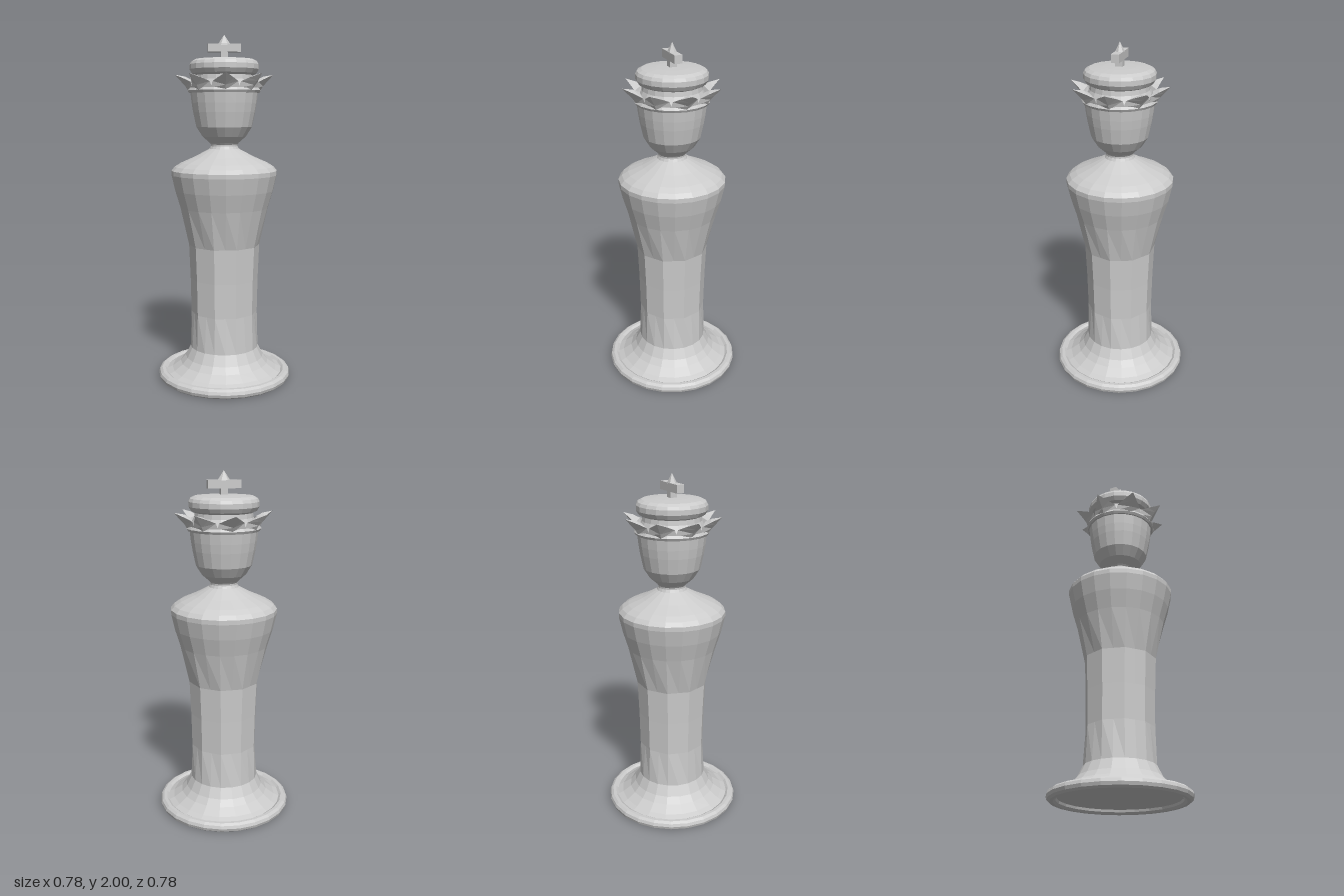
import * as THREE from 'three';

const material = new THREE.MeshStandardMaterial({ color: 0xcccccc, flatShading: true, side: THREE.DoubleSide });
const SIDES = 20;
const STEP = Math.PI * 2 / SIDES;

function addPart(parent, name, geometry) {
  const faceted = geometry.index ? geometry.toNonIndexed() : geometry;
  faceted.computeVertexNormals();
  const mesh = new THREE.Mesh(faceted, material);
  mesh.name = name;
  parent.add(mesh);
  return mesh;
}

// Turned shape from [radius, height] pairs, bottom to top
function turned(profile) {
  return new THREE.LatheGeometry(profile.map(([r, y]) => new THREE.Vector2(r, y)), SIDES, STEP);
}

// Robe whose shaft is cut to ten flat sides between two heights
function robeGeometry() {
  const geometry = turned([
    [0, 0.025], [0.345, 0.025], [0.345, 0.045], [0.31, 0.06], [0.26, 0.095], [0.23, 0.13], [0.2, 0.19],
    [0.194, 0.4], [0.198, 0.6], [0.206, 0.8], [0.255, 1.02], [0.285, 1.12], [0.305, 1.21],
    [0.305, 1.235], [0.285, 1.258], [0.25, 1.28], [0.17, 1.315], [0.085, 1.36], [0.077, 1.375]
  ]);
  const p = geometry.attributes.position;
  for (let i = 0; i < p.count; i++) {
    const y = p.getY(i);
    const slot = Math.round(Math.atan2(p.getX(i), p.getZ(i)) / STEP);
    if (y > 0.35 && y < 0.85 && slot % 2 === 0) {
      const k = Math.cos(STEP);
      p.setXYZ(i, p.getX(i) * k, y, p.getZ(i) * k);
    }
  }
  return geometry;
}

// Curved crown point: four-cornered sections shrinking to a tip, pointing along +z
function crownPointGeometry() {
  // half width, then [z, y] of the sides, outer ridge and inner ridge
  const sections = [
    [0.078, [0.18, 1.70], [0.205, 1.688], [0.165, 1.70]],
    [0.07, [0.19, 1.735], [0.222, 1.715], [0.185, 1.75]],
    [0.045, [0.222, 1.752], [0.245, 1.74], [0.222, 1.768]],
    [0, [0.28, 1.778], [0.28, 1.778], [0.28, 1.778]]
  ];
  const vertices = [], index = [];
  sections.forEach(([w, side, outer, inner], s) => {
    vertices.push(-w, side[1], side[0], 0, outer[1], outer[0], w, side[1], side[0], 0, inner[1], inner[0]);
    if (s === sections.length - 1) return;
    for (let j = 0; j < 4; j++) {
      const a = s * 4 + j, b = s * 4 + (j + 1) % 4;
      index.push(a, b, b + 4);
      if (s < sections.length - 2) index.push(a, b + 4, a + 4);
    }
  });
  const geometry = new THREE.BufferGeometry();
  geometry.setAttribute('position', new THREE.Float32BufferAttribute(vertices, 3));
  geometry.setIndex(index);
  return geometry;
}

export function createModel() {
  const model = new THREE.Group();
  model.name = 'chessKing';

  // Base and robe
  const rim = addPart(model, 'baseRim', new THREE.TorusGeometry(0.362, 0.029, 10, 24).rotateX(Math.PI / 2));
  rim.position.y = 0.029;
  addPart(model, 'robe', robeGeometry());

  // Neck and head
  addPart(model, 'collar', turned([[0.085, 1.36], [0.077, 1.37], [0.077, 1.385], [0.088, 1.4]]));
  addPart(model, 'head', turned([
    [0, 1.39], [0.085, 1.395], [0.125, 1.43], [0.16, 1.485], [0.178, 1.57], [0.186, 1.62], [0.194, 1.69],
    [0.18, 1.72], [0.165, 1.75], [0.16, 1.79]
  ]));

  // Crown
  const crown = new THREE.Group();
  crown.name = 'crown';
  model.add(crown);
  const band = addPart(crown, 'crownBand', new THREE.TorusGeometry(0.193, 0.016, 6, SIDES).rotateX(Math.PI / 2));
  band.position.y = 1.69;
  for (let i = 0; i < 8; i++) {
    addPart(crown, 'crownPoint', crownPointGeometry()).rotation.y = i * Math.PI / 4;
  }
  addPart(crown, 'cap', turned([
    [0, 1.765], [0.15, 1.77], [0.183, 1.785], [0.197, 1.808], [0.197, 1.835], [0.188, 1.852],
    [0.165, 1.864], [0.09, 1.87], [0, 1.872]
  ]));

  // Cross on top
  const cross = new THREE.Group();
  cross.name = 'cross';
  model.add(cross);
  addPart(cross, 'crossStem', new THREE.BoxGeometry(0.04, 0.06, 0.04)).position.y = 1.885;
  addPart(cross, 'crossArms', new THREE.BoxGeometry(0.186, 0.045, 0.044)).position.y = 1.927;
  const tip = addPart(cross, 'crossTip', new THREE.ConeGeometry(0.037, 0.055, 6).rotateY(Math.PI / 2));
  tip.position.y = 1.9725;
  tip.scale.z = 0.7;

  return model;
}
